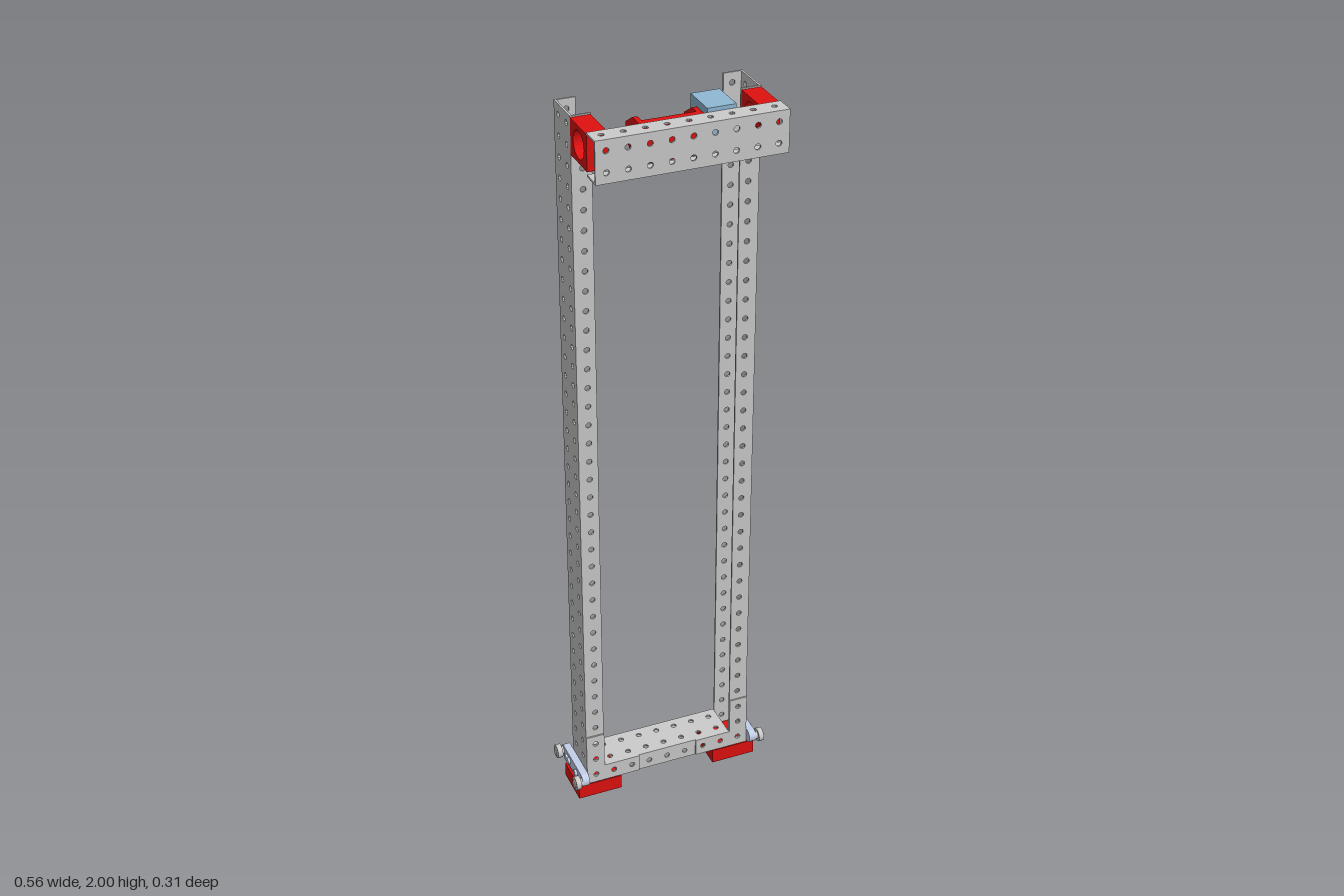
import * as THREE from 'three';

const PITCH = 0.0525, HOLE = 0.0075, T = 0.005;
const mat = (color) => new THREE.MeshStandardMaterial({ color, roughness: 0.7 });
const grey = mat(0xcccccc), red = mat(0xe01010), blue = mat(0x8fb8d4), steel = mat(0xc4d0ea);

function add(parent, name, geometry, material, x = 0, y = 0, z = 0) {
  const mesh = new THREE.Mesh(geometry, material);
  mesh.name = name;
  mesh.position.set(x, y, z);
  parent.add(mesh);
  return mesh;
}

// Extrude an outline with round holes [x, y, r], thickness centred on z = 0
function extrude(points, depth, holes = [], segments = 5) {
  const shape = new THREE.Shape(points.map(([x, y]) => new THREE.Vector2(x, y)));
  for (const [x, y, r] of holes) {
    shape.holes.push(new THREE.Path().absarc(x, y, r, 0, Math.PI * 2, true));
  }
  return new THREE.ExtrudeGeometry(shape, { depth, bevelEnabled: false, curveSegments: segments })
    .translate(0, 0, -depth / 2);
}

const plate = (w, h, t, holes, segments) => extrude(
  [[-w / 2, -h / 2], [w / 2, -h / 2], [w / 2, h / 2], [-w / 2, h / 2]], t, holes, segments);

// Perforated U channel running along y, web facing +z, flanges reaching to -z
function channel(name, n, width, depth) {
  const g = new THREE.Group();
  g.name = name;
  const column = (x) => Array.from({ length: n }, (_, i) => [x, (i - (n - 1) / 2) * PITCH, HOLE]);
  const len = n * PITCH;
  add(g, 'web', plate(width, len, T, [...column(-PITCH / 2), ...column(PITCH / 2)]), grey, 0, 0, -T / 2);
  for (const s of [-1, 1]) {
    const flange = add(g, 'flange', plate(depth - T, len, T, column(0)), grey,
      s * (width - T) / 2, 0, -(depth + T) / 2);
    flange.rotation.y = Math.PI / 2;
  }
  return g;
}

export function createModel() {
  const model = new THREE.Group();
  model.name = 'liftFrame';

  // Crosspiece at the bottom, web on top
  const cross = channel('bottomCrosspiece', 7, 0.106, 0.051);
  cross.quaternion.setFromRotationMatrix(new THREE.Matrix4().makeBasis(
    new THREE.Vector3(0, 0, 1), new THREE.Vector3(1, 0, 0), new THREE.Vector3(0, 1, 0)));
  cross.position.set(0, 0.096, -0.057);
  model.add(cross);

  // Beam across the top, web to the front
  const beam = channel('topBeam', 9, 0.106, 0.053);
  beam.rotation.z = Math.PI / 2;
  beam.position.set(0, 1.937, 0.152);
  model.add(beam);

  for (const s of [-1, 1]) {
    const side = new THREE.Group();
    side.name = s > 0 ? 'leftSide' : 'rightSide';
    model.add(side);

    // Upright, opening inward
    const upright = channel('upright', 37, 0.106, 0.051);
    upright.rotation.y = s * Math.PI / 2;
    upright.position.set(s * 0.236, 1.017, -0.057);
    side.add(upright);

    // L-shaped gusset over the front corner
    const outline = [[0.236, 0.046], [0.236, 0.203], [0.185, 0.203], [0.185, 0.096], [0.084, 0.096], [0.084, 0.046]];
    const bolts = [[0.21, 0.072], [0.21, 0.125], [0.21, 0.177], [0.158, 0.072], [0.105, 0.072]];
    add(side, 'cornerGusset', extrude(outline.map(([x, y]) => [s * x, y]), 0.004,
      bolts.map(([x, y]) => [s * x, y, HOLE])), grey, 0, 0, -0.002);

    // Foot: hollow pad, open below
    const foot = new THREE.Group();
    foot.name = 'foot';
    foot.position.x = s * 0.198;
    side.add(foot);
    add(foot, 'footTop', new THREE.BoxGeometry(0.124, 0.012, 0.108), red, 0, 0.036, -0.056);
    const rim = add(foot, 'footRim', plate(0.124, 0.108, 0.03, [[0, 0, 0.043]], 14), red, 0, 0.015, -0.056);
    rim.rotation.x = Math.PI / 2;

    // Spacer block carrying the top beam, bored sideways
    const spacer = add(side, 'beamSpacer', plate(0.104, 0.09, 0.05, [[0, 0, 0.034]], 14), red,
      s * 0.211, 1.94, 0.048);
    spacer.rotation.y = Math.PI / 2;

    // Side bar with round ends
    const bar = new THREE.Shape();
    bar.absarc(0.004, 0, 0.019, -Math.PI / 2, Math.PI / 2, false);
    bar.absarc(-0.127, 0, 0.019, Math.PI / 2, Math.PI * 1.5, false);
    const barGeo = new THREE.ExtrudeGeometry(bar, { depth: 0.02, bevelEnabled: false, curveSegments: 12 })
      .translate(0, 0, -0.01).rotateY(-Math.PI / 2);
    add(side, 'sideBar', barGeo, steel, s * 0.247, 0.07, 0);

    // Bolts: large knobs at the ends, small heads between
    const disc = (name, r, len, x, z, m) =>
      add(side, name, new THREE.CylinderGeometry(r, r, len, 20).rotateZ(Math.PI / 2), m, s * x, 0.07, z);
    for (const z of [-0.134, 0.012]) {
      disc('knobStem', 0.011, 0.012, 0.26, z, grey);
      disc('knob', 0.019, 0.014, 0.27, z, grey);
      disc('knobCap', 0.012, 0.004, 0.278, z, grey);
    }
    for (const z of [-0.1, -0.083, -0.03]) disc('boltHead', 0.009, 0.007, 0.26, z, steel);
  }

  // U-shaped motor bracket behind the beam
  const bracket = new THREE.Group();
  bracket.name = 'motorBracket';
  model.add(bracket);
  const bx = -0.0265;
  const holes = [-PITCH, 0].flatMap((x) => [-1, 1].map((k) => [x - bx, k * PITCH / 2, HOLE]));
  add(bracket, 'bracketBase', plate(0.157, 0.094, 0.028, holes), red, bx, 1.937, 0.084);
  for (const x of [-0.099, 0.046]) {
    const arm = add(bracket, 'bracketArm', extrude(
      [[-0.07, -0.047], [-0.07, 0.047], [-0.045, 0.047], [-0.002, 0.02], [-0.002, -0.02], [-0.045, -0.047]],
      0.012, [[-0.03, 0, 0.012]]), red, x, 1.937, 0);
    arm.rotation.y = Math.PI / 2;
  }

  // Motor with its smaller gear case and shaft
  const motor = new THREE.Group();
  motor.name = 'motor';
  model.add(motor);
  add(motor, 'motorHousing', new THREE.BoxGeometry(0.072, 0.045, 0.096), blue, 0.091, 1.9775, 0.051);
  add(motor, 'gearCase', new THREE.BoxGeometry(0.06, 0.055, 0.05), blue, 0.091, 1.9275, 0.071);
  add(motor, 'shaft', new THREE.CylinderGeometry(0.006, 0.006, 0.04, 12).rotateX(Math.PI / 2), grey, 0.091, 1.93, 0.04);

  return model;
}
